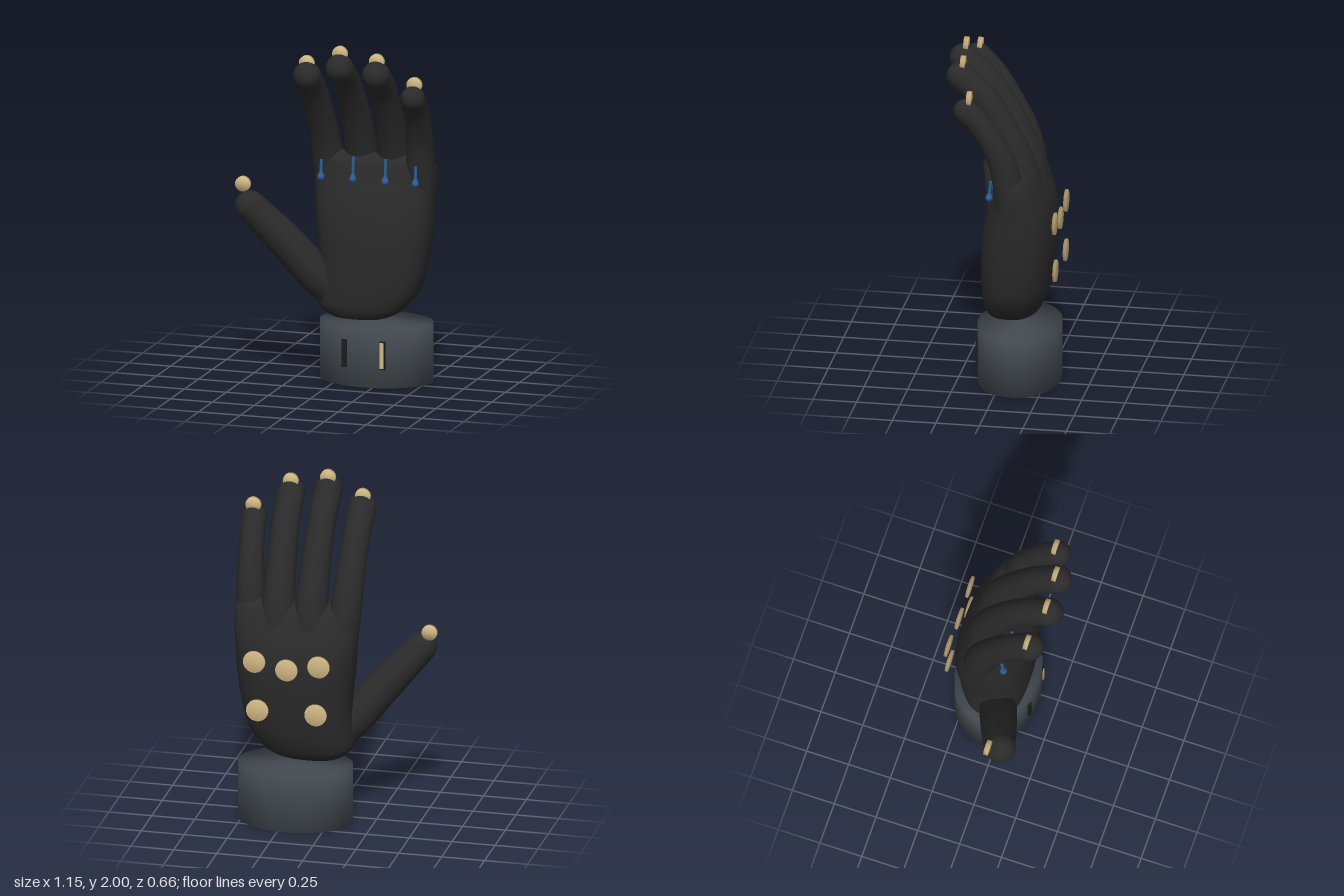
import * as THREE from 'three';
import { mergeVertices } from 'three/addons/utils/BufferGeometryUtils.js';

const material = (name, color) => {
  const m = new THREE.MeshStandardMaterial({ color });
  m.name = name;
  return m;
};

// Closed smooth skin through equal loops of points
function loft(rings) {
  const n = rings[0].length, pos = [], index = [];
  rings.forEach(r => r.forEach(p => pos.push(p.x, p.y, p.z)));
  for (let i = 0; i < rings.length - 1; i++) {
    for (let j = 0; j < n; j++) {
      const k = (j + 1) % n;
      const a = i * n + j, b = i * n + k, c = b + n, d = a + n;
      index.push(a, b, c, a, c, d);
    }
  }
  const g = new THREE.BufferGeometry();
  g.setAttribute('position', new THREE.Float32BufferAttribute(pos, 3));
  g.setIndex(index);
  g.computeVertexNormals();
  return g;
}

// Finger: tapered round tube along [x, y, z, radius] points with a domed tip
function finger(points) {
  const curve = new THREE.CatmullRomCurve3(points.map(p => new THREE.Vector3(p[0], p[1], p[2])));
  const steps = 30, sides = 28, rings = [];
  const frames = curve.computeFrenetFrames(steps, false);
  const addRing = (center, i, r) => {
    const ring = [];
    for (let j = 0; j < sides; j++) {
      const a = j / sides * Math.PI * 2;
      ring.push(center.clone()
        .addScaledVector(frames.normals[i], r * Math.cos(a))
        .addScaledVector(frames.binormals[i], r * Math.sin(a)));
    }
    rings.push(ring);
  };
  for (let i = 0; i <= steps; i++) {
    const t = curve.getUtoTmapping(i / steps) * (points.length - 1);
    const k = Math.min(Math.floor(t), points.length - 2);
    const r = THREE.MathUtils.lerp(points[k][3], points[k + 1][3], t - k);
    addRing(curve.getPointAt(i / steps), i, r);
  }
  const end = points[points.length - 1], tipR = end[3];
  for (let s = 1; s <= 9; s++) {
    const a = s / 9 * Math.PI / 2;
    const center = new THREE.Vector3(end[0], end[1], end[2])
      .addScaledVector(frames.tangents[steps], tipR * Math.sin(a));
    addRing(center, steps, Math.max(tipR * Math.cos(a), 1e-4));
  }
  return loft(rings);
}

// Palm: rounded sections given as [y, xMin, xMax, zFront, zBack]
function palm(sections) {
  const curves = [0, 1, 2, 3, 4].map(k => new THREE.SplineCurve(
    sections.map((s, i) => new THREE.Vector2(i, s[k]))));
  const steps = 50, sides = 64, power = 2 / 2.6, rings = [];
  const bend = v => Math.sign(v) * Math.pow(Math.abs(v), power);
  for (let i = 0; i <= steps; i++) {
    const [y, x0, x1, zf, zb] = curves.map(c => c.getPoint(i / steps).y);
    const ring = [];
    for (let j = 0; j < sides; j++) {
      const a = j / sides * Math.PI * 2;
      ring.push(new THREE.Vector3(
        (x0 + x1) / 2 + (x1 - x0) / 2 * bend(Math.cos(a)), y,
        (zf + zb) / 2 - (zf - zb) / 2 * bend(Math.sin(a))));
    }
    rings.push(ring);
  }
  return loft(rings);
}

// Cylinder whose normals blend softly over the rims
function softCylinder(radius, height, sides) {
  const g = new THREE.CylinderGeometry(radius, radius, height, sides);
  g.deleteAttribute('uv');
  g.deleteAttribute('normal');
  const merged = mergeVertices(g);
  merged.computeVertexNormals();
  return merged;
}

export function createModel() {
  const group = new THREE.Group();
  const glove = material('glove black', 0x2a2a2a);
  const slate = material('cuff slate', 0x434a50);
  const tan = material('sensor tan', 0xd2b985);
  const blue = material('tendon blue', 0x2c5c92);
  const dark = material('slot black', 0x1b1c1d);

  const add = (name, geometry, mat, x = 0, y = 0, z = 0, parent = group) => {
    const mesh = new THREE.Mesh(geometry, mat);
    mesh.name = name;
    mesh.position.set(x, y, z);
    parent.add(mesh);
    return mesh;
  };

  // Wrist cuff
  add('wristCuff', softCylinder(1, 0.34, 64), slate, 0.2, 0.17, -0.093).scale.set(0.33, 1, 0.238);

  // Two upright slots on the cuff front
  add('darkSlot', new THREE.BoxGeometry(0.028, 0.16, 0.022), dark, 0.083, 0.19, 0.131);
  add('tanSlotFrame', new THREE.BoxGeometry(0.03, 0.165, 0.02), dark, 0.31, 0.19, 0.13);
  add('tanSlot', new THREE.BoxGeometry(0.022, 0.15, 0.008), tan, 0.307, 0.19, 0.139);

  // Palm
  add('palm', palm([
    [0.364, 0.10, 0.14, -0.03, -0.05],
    [0.37, -0.02, 0.26, 0.06, -0.13],
    [0.405, -0.09, 0.35, 0.095, -0.19],
    [0.46, -0.13, 0.41, 0.112, -0.225],
    [0.56, -0.13, 0.47, 0.118, -0.26],
    [0.72, -0.125, 0.507, 0.118, -0.287],
    [0.9, -0.145, 0.53, 0.105, -0.30],
    [1.06, -0.16, 0.54, 0.07, -0.285],
    [1.2, -0.168, 0.55, 0.025, -0.235],
    [1.28, -0.16, 0.54, 0.0, -0.19],
    [1.315, -0.1, 0.48, -0.05, -0.13],
    [1.318, 0.18, 0.2, -0.085, -0.095],
  ]), glove);

  // Fingers and thumb
  const digits = {
    indexFinger: [[-0.075, 1.05, -0.12, 0.085], [-0.09, 1.25, -0.10, 0.091], [-0.1, 1.4, -0.06, 0.085],
      [-0.108, 1.6, 0.04, 0.078], [-0.115, 1.72, 0.12, 0.078], [-0.117, 1.805, 0.205, 0.08]],
    middleFinger: [[0.1, 1.05, -0.17, 0.09], [0.1, 1.25, -0.132, 0.096], [0.1, 1.4, -0.085, 0.09],
      [0.097, 1.6, 0.01, 0.082], [0.094, 1.76, 0.12, 0.079], [0.092, 1.875, 0.25, 0.08]],
    ringFinger: [[0.29, 1.05, -0.165, 0.09], [0.293, 1.25, -0.128, 0.096], [0.296, 1.4, -0.08, 0.09],
      [0.3, 1.6, 0.02, 0.082], [0.303, 1.74, 0.115, 0.079], [0.304, 1.845, 0.23, 0.08]],
    littleFinger: [[0.455, 1.05, -0.09, 0.082], [0.468, 1.25, -0.07, 0.084], [0.475, 1.4, -0.038, 0.079],
      [0.487, 1.53, 0.025, 0.071], [0.495, 1.63, 0.09, 0.069], [0.502, 1.71, 0.167, 0.07]],
    thumb: [[0.0, 0.47, -0.03, 0.09], [-0.12, 0.6, 0.015, 0.108], [-0.3, 0.815, 0.08, 0.102],
      [-0.4, 0.925, 0.117, 0.094], [-0.475, 1.01, 0.15, 0.087]],
  };
  for (const [name, points] of Object.entries(digits)) add(name, finger(points), glove);

  // Round sensors facing the front at each tip
  const tipDisc = softCylinder(0.044, 0.025, 32).rotateX(Math.PI / 2);
  [[-0.535, 1.12, 0.095], [-0.123, 1.876, 0.19], [0.09, 1.956, 0.233], [0.303, 1.922, 0.215], [0.504, 1.785, 0.145]]
    .forEach(p => add('tipSensor', tipDisc, tan, ...p));

  // Round sensors floating over the back of the hand
  const backDisc = softCylinder(0.064, 0.014, 32).rotateX(Math.PI / 2);
  [[0.385, 1.015], [0.197, 0.98], [0.01, 1.015], [0.367, 0.723], [0.027, 0.723]]
    .forEach(([x, y]) => add('backSensor', backDisc, tan, x, y, -0.326));

  // Tendon pins at the finger roots
  [[-0.09, 0.1], [0.1, 0.13], [0.293, 0.13], [0.473, 0.1]].forEach(([x, length]) => {
    const pin = new THREE.Group();
    pin.name = 'tendonPin';
    pin.position.set(x, 1.18, 0.037);
    pin.rotation.x = -0.1;
    add('pinBall', new THREE.SphereGeometry(0.02, 20, 14), blue, 0, 0, 0, pin);
    add('pinNeck', new THREE.CylinderGeometry(0.008, 0.02, 0.025, 16), blue, 0, 0.02, 0, pin);
    add('pinRod', new THREE.CylinderGeometry(0.009, 0.009, length, 14), blue, 0, length / 2, 0, pin);
    group.add(pin);
  });

  return group;
}
